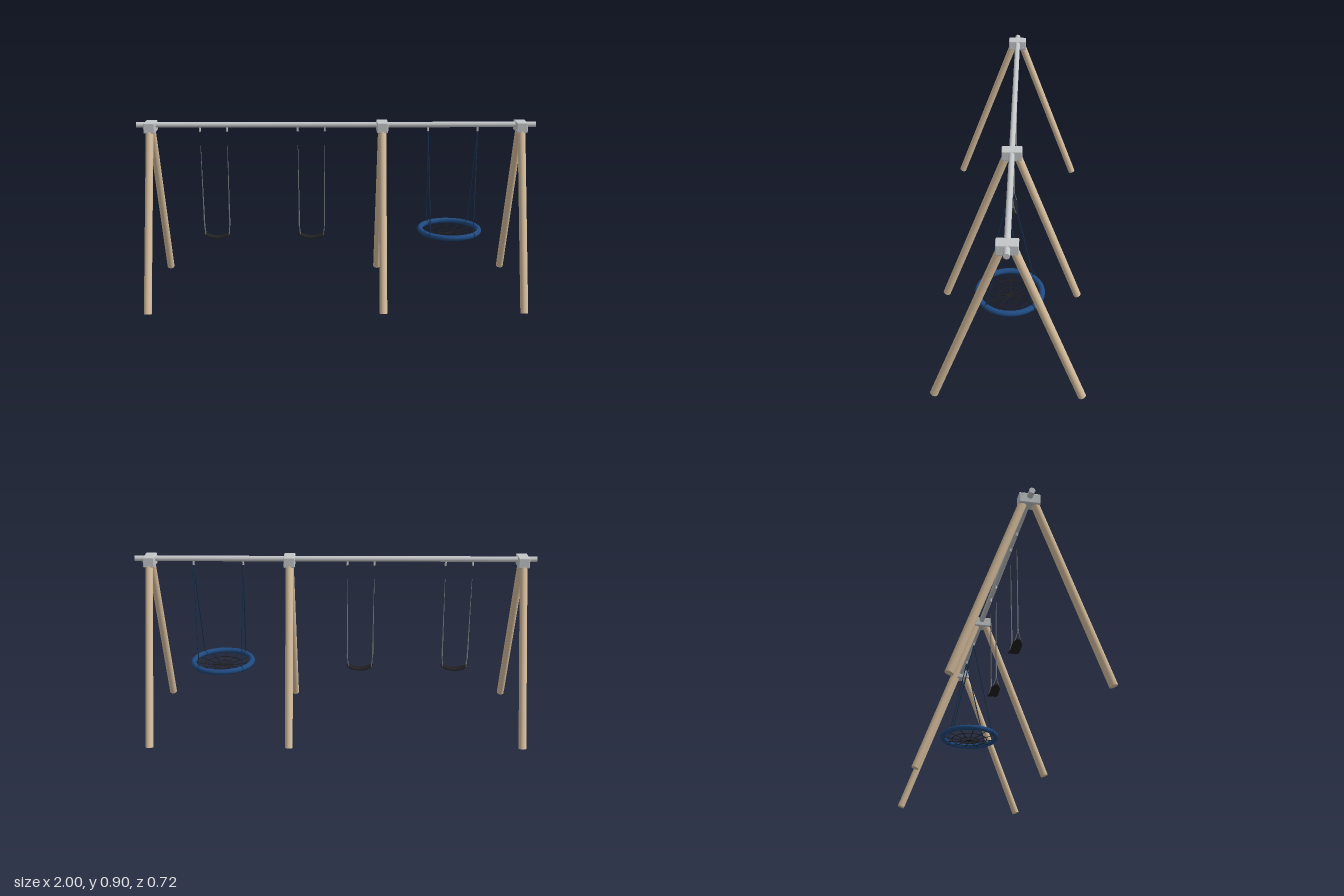
import * as THREE from 'three';
import { RoundedBoxGeometry } from 'three/addons/geometries/RoundedBoxGeometry.js';

const mat = (name, color, side = THREE.FrontSide) => {
  const m = new THREE.MeshStandardMaterial({ color, side });
  m.name = name;
  return m;
};
const wood = mat('wood', 0xd6bd9d);
const steel = mat('steel', 0xc3c6c8);
const chainGrey = mat('chain grey', 0x77797c);
const rubber = mat('black rubber', 0x202022);
const blue = mat('blue padding', 0x1f4a80);
const navy = mat('navy rope', 0x17304f);

const V = (x, y, z) => new THREE.Vector3(x, y, z);

function add(parent, name, geometry, material) {
  const mesh = new THREE.Mesh(geometry, material);
  mesh.name = name;
  parent.add(mesh);
  return mesh;
}

// Cylinder from point a to point b
function rod(parent, name, a, b, ra, rb, material, sides = 8) {
  const dir = b.clone().sub(a);
  const mesh = add(parent, name, new THREE.CylinderGeometry(rb, ra, dir.length(), sides), material);
  mesh.position.copy(a).add(b).multiplyScalar(0.5);
  mesh.quaternion.setFromUnitVectors(V(0, 1, 0), dir.normalize());
  return mesh;
}

// Pair of splayed legs with the steel bracket that joins them to the beam
function legFrame(x) {
  const g = new THREE.Group();
  g.name = 'legFrame';
  for (const s of [-1, 1]) {
    rod(g, 'leg', V(0, 0.0066, s * 0.34), V(0, 0.865, s * 0.026), 0.019, 0.019, wood, 28);
  }
  add(g, 'bracket', new RoundedBoxGeometry(0.056, 0.052, 0.097, 2, 0.005), steel).position.y = 0.876;
  // Bolts on both faces of the bracket
  for (const sx of [-1, 1]) for (const sz of [-1, 1]) for (const y of [0.863, 0.888]) {
    rod(g, 'bolt', V(sx * 0.027, y, sz * 0.035), V(sx * 0.0295, y, sz * 0.035), 0.0025, 0.0025, steel);
  }
  g.position.x = x;
  return g;
}

// Hanger under the beam
function hanger(parent, x) {
  rod(parent, 'hangerStem', V(x, 0.853, 0), V(x, 0.875, 0), 0.005, 0.005, steel, 10);
  const eye = add(parent, 'hangerEye', new THREE.TorusGeometry(0.0045, 0.0015, 6, 12), chainGrey);
  eye.position.set(x, 0.853, 0);
}

// Flexible seat on two chains
function beltSwing(x) {
  const g = new THREE.Group();
  g.name = 'beltSwing';

  // Belt with tapered ends, bent into a sag
  const seat = new THREE.BoxGeometry(0.138, 0.006, 0.044, 16, 1, 1);
  const p = seat.attributes.position;
  for (let i = 0; i < p.count; i++) {
    const t = Math.abs(p.getX(i));
    const taper = 1 - 0.6 * Math.max(0, (t - 0.05) / 0.019);
    p.setZ(i, p.getZ(i) * taper);
    p.setY(i, p.getY(i) + 0.293 + 0.02 * (t / 0.069) ** 2);
  }
  seat.computeVertexNormals();
  add(g, 'seat', seat, rubber);

  for (const s of [-1, 1]) {
    hanger(g, s * 0.068);
    rod(g, 'chain', V(s * 0.065, 0.355, 0), V(s * 0.0675, 0.78, 0), 0.0036, 0.0012, chainGrey);
    // Triangular link between belt and chain
    for (const z of [-0.014, 0.014]) {
      rod(g, 'seatLink', V(s * 0.06, 0.309, z), V(s * 0.065, 0.358, 0), 0.002, 0.002, chainGrey, 6);
    }
    rod(g, 'seatLinkBar', V(s * 0.06, 0.309, -0.014), V(s * 0.06, 0.309, 0.014), 0.002, 0.002, chainGrey, 6);
  }
  g.position.x = x;
  return g;
}

// Round net seat on four ropes
function nestSwing(x) {
  const g = new THREE.Group();
  g.name = 'nestSwing';
  const R = 0.151, rimY = 0.334;

  add(g, 'rim', new THREE.TorusGeometry(R, 0.0138, 16, 64).rotateX(Math.PI / 2), blue).position.y = rimY;

  // Net of spokes and rings on a shallow bowl
  const bowlY = r => 0.312 + (rimY - 0.006 - 0.312) * (r / R) ** 2;
  const radii = [0.012, 0.052, 0.098, R - 0.006];
  for (let i = 0; i < 12; i++) {
    const a = (i / 12) * Math.PI * 2;
    const pts = radii.map(r => V(r * Math.cos(a), bowlY(r), r * Math.sin(a)));
    pts.unshift(V(0, bowlY(0), 0));
    add(g, 'netSpoke', new THREE.TubeGeometry(new THREE.CatmullRomCurve3(pts), 10, 0.002, 6), rubber);
  }
  for (const r of radii.slice(0, 3)) {
    const ring = new THREE.TorusGeometry(r, 0.002, 6, r < 0.02 ? 16 : 36).rotateX(Math.PI / 2);
    add(g, 'netRing', ring, rubber).position.y = bowlY(r);
  }

  // Each hanger carries one front and one back rope
  for (const sx of [-1, 1]) {
    hanger(g, sx * 0.124);
    for (const sz of [-1, 1]) {
      const foot = V(sx * 0.108, 0.342, sz * 0.108);
      rod(g, 'rope', foot, V(sx * 0.124, 0.855, 0), 0.0028, 0.0028, navy);
      // Rope loop around the rim
      const loop = add(g, 'rimLoop', new THREE.TorusGeometry(0.0142, 0.002, 6, 20), navy);
      loop.position.set(sx * R * Math.SQRT1_2, rimY, sz * R * Math.SQRT1_2);
      loop.rotation.y = -Math.atan2(sz, sx);
    }
  }
  g.position.x = x;
  return g;
}

export function createModel() {
  const model = new THREE.Group();
  model.name = 'swingSet';
  rod(model, 'beam', V(-1, 0.885, 0), V(1, 0.885, 0), 0.0138, 0.0138, steel, 28);
  for (const x of [-0.93, 0.23, 0.925]) model.add(legFrame(x));
  for (const x of [-0.616, -0.126]) model.add(beltSwing(x));
  model.add(nestSwing(0.585));
  return model;
}
